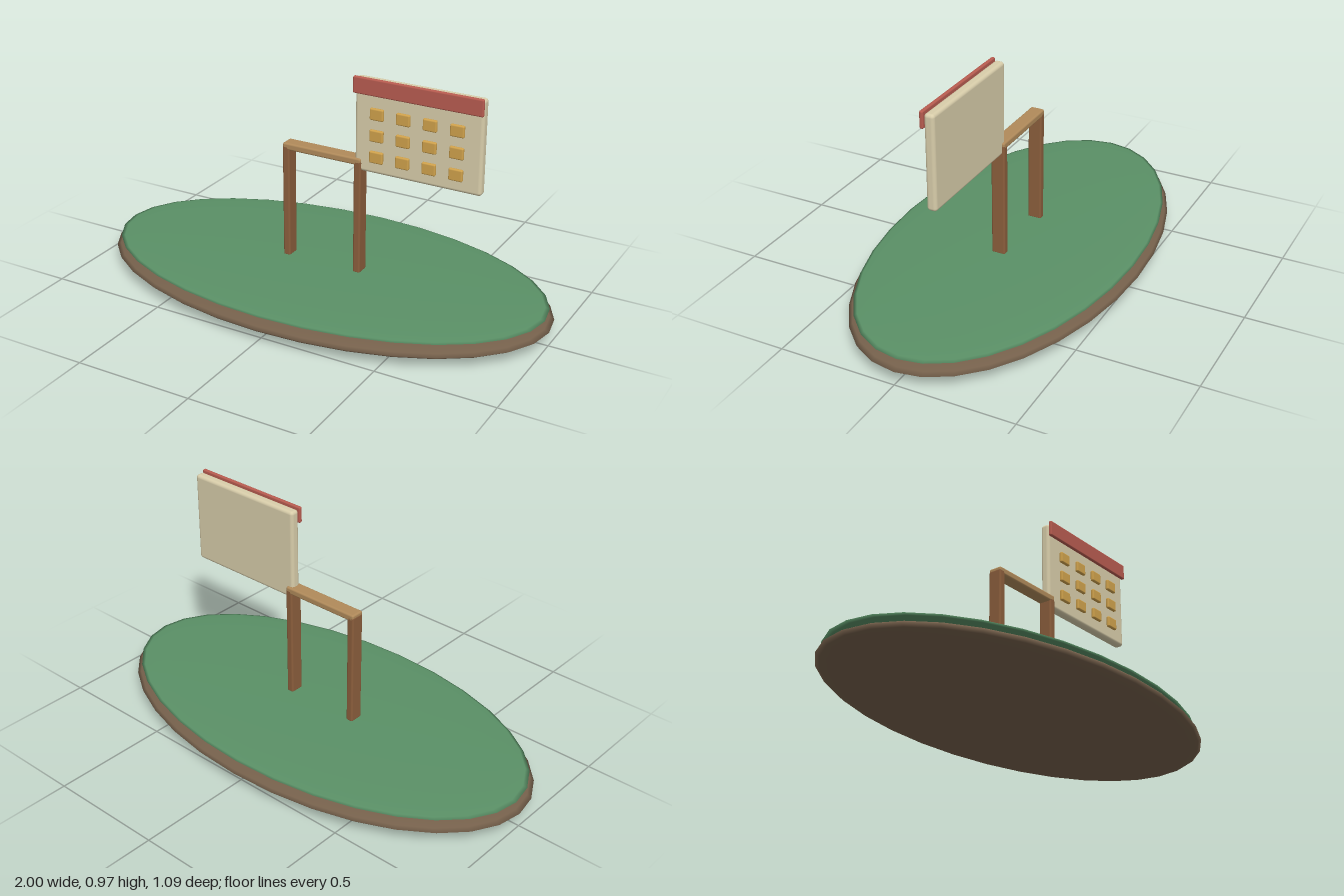
import * as THREE from 'three';
import { RoundedBoxGeometry } from 'three/addons/geometries/RoundedBoxGeometry.js';

const material = (name, color) => {
  const m = new THREE.MeshStandardMaterial({ color });
  m.name = name;
  return m;
};

export function createModel() {
  const model = new THREE.Group();
  model.name = 'calendarIsland';

  const earth = material('earth brown', 0x75604b);
  const grass = material('grass green', 0x5a9066);
  const darkWood = material('dark wood', 0x8b5e3c);
  const lightWood = material('light wood', 0xb08a5a);
  const cream = material('cream', 0xd8cdaa);
  const red = material('red', 0xb85c50);
  const gold = material('gold', 0xd0a24c);

  const add = (name, geometry, mat, x, y, z, parent = model) => {
    const mesh = new THREE.Mesh(geometry, mat);
    mesh.name = name;
    mesh.position.set(x, y, z);
    parent.add(mesh);
    return mesh;
  };
  const box = (w, h, d, r) => new RoundedBoxGeometry(w, h, d, 3, r);
  const disc = (rx, ry, rz) => new THREE.SphereGeometry(1, 32, 16).scale(rx, ry, rz);

  // Flattened island: earth below, grass on top
  add('earthBase', disc(1, 0.058, 0.545), earth, 0, 0.058, 0);
  add('grassTop', disc(0.98, 0.018, 0.522), grass, 0, 0.103, 0);

  // Wooden gate
  const gate = new THREE.Group();
  gate.name = 'gate';
  model.add(gate);
  for (const side of [-1, 1]) {
    add(side > 0 ? 'leftPost' : 'rightPost', box(0.032, 0.5, 0.06, 0.008), darkWood, side * 0.165, 0.365, 0, gate);
  }
  add('crossbar', box(0.36, 0.03, 0.06, 0.008), lightWood, 0, 0.61, 0, gate);

  // Calendar board with header strip and date tiles
  const calendar = new THREE.Group();
  calendar.name = 'calendar';
  calendar.position.set(0.423, 0.768, 0.001);
  model.add(calendar);
  add('board', box(0.546, 0.392, 0.042, 0.014), cream, 0, 0, 0, calendar);
  add('header', box(0.55, 0.07, 0.016, 0.006), red, 0, 0.169, 0.03, calendar);
  const tile = box(0.059, 0.049, 0.016, 0.006);
  for (let row = 0; row < 3; row++) {
    for (let col = 0; col < 4; col++) {
      add('dateTile', tile, gold, -0.171 + col * 0.114, 0.06 - row * 0.09, 0.03, calendar);
    }
  }

  return model;
}
